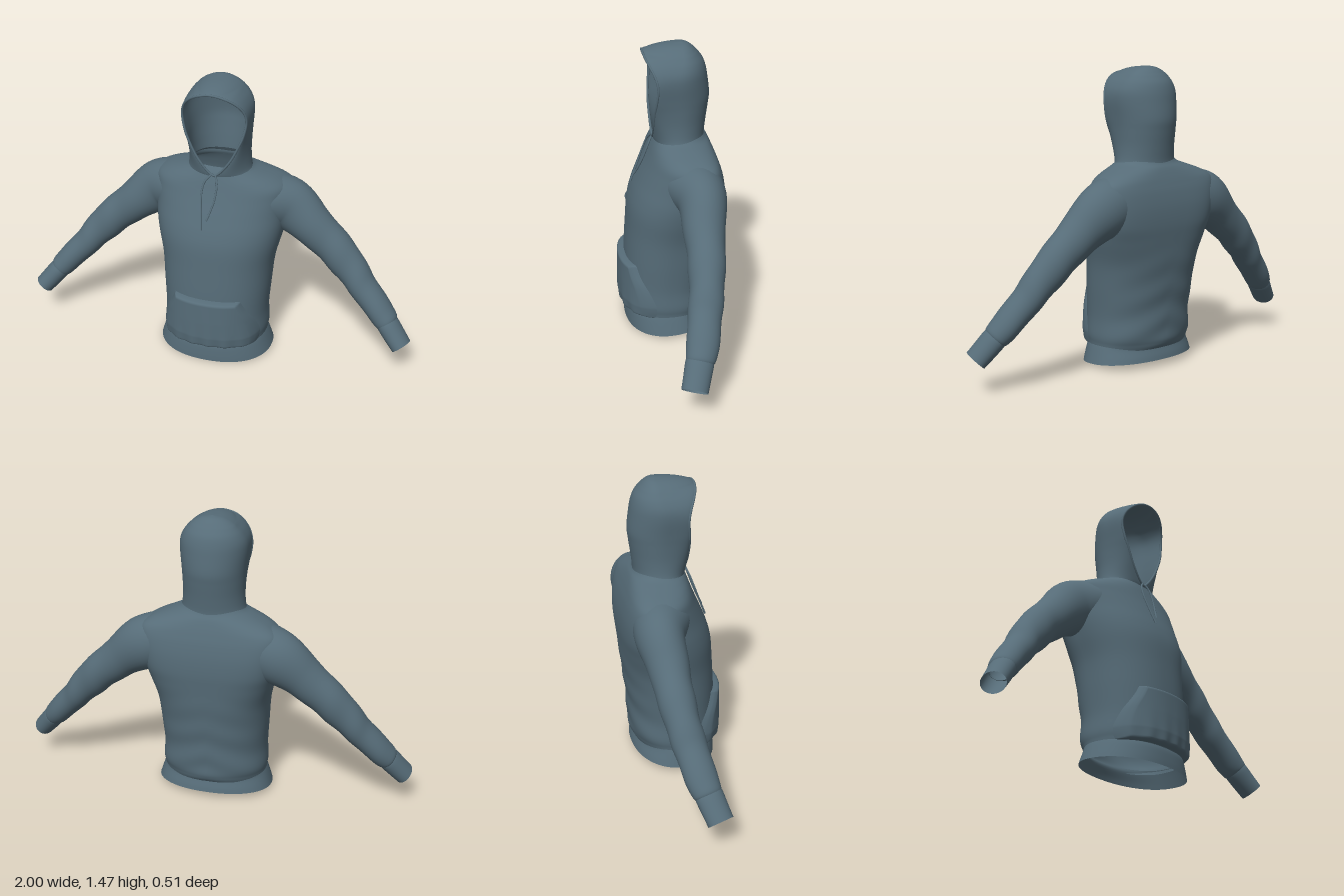
import * as THREE from 'three';

const fabric = new THREE.MeshStandardMaterial({ color: 0x566c78, side: THREE.DoubleSide });
fabric.name = 'slate fabric';

// Smooth interpolation through the rows of a profile table, t in 0..1
function sample(rows, t) {
  const f = t * (rows.length - 1), i = Math.min(Math.floor(f), rows.length - 2), k = f - i;
  const at = j => rows[Math.max(0, Math.min(rows.length - 1, j))];
  return rows[0].map((_, c) => {
    const a = at(i - 1)[c], b = at(i)[c], d = at(i + 1)[c], e = at(i + 2)[c];
    return b + 0.5 * k * (d - a + k * (2 * a - 5 * b + 4 * d - e + k * (3 * (b - d) + e - a)));
  });
}

// Surface through a grid of points: fn(u, v) gives [x, y, z]
function surface(name, fn, nu, nv, closed) {
  const pos = [], idx = [], cols = closed ? nu : nu + 1;
  for (let j = 0; j <= nv; j++)
    for (let i = 0; i < cols; i++) pos.push(...fn(i / nu, j / nv));
  for (let j = 0; j < nv; j++)
    for (let i = 0; i < nu; i++) {
      const n = (i + 1) % cols;
      const a = j * cols + i, b = j * cols + n, c = a + cols, d = b + cols;
      idx.push(a, c, b, b, c, d);
    }
  const g = new THREE.BufferGeometry();
  g.setAttribute('position', new THREE.Float32BufferAttribute(pos, 3));
  g.setIndex(idx);
  g.computeVertexNormals();
  const mesh = new THREE.Mesh(g, fabric);
  mesh.name = name;
  return mesh;
}

function cord(name, points, radius, closed = false) {
  const curve = new THREE.CatmullRomCurve3(points.map(p => new THREE.Vector3(...p)), closed);
  const mesh = new THREE.Mesh(new THREE.TubeGeometry(curve, 90, radius, 8, closed), fabric);
  mesh.name = name;
  return mesh;
}

const power = (v, e) => Math.sign(v) * Math.abs(v) ** e;
const ROUND = 2.25;

// Body ring: half width, centre z, front z, back z, squareness of the back
function bodyPoint([y, w, zc, zf, zb, back], u) {
  const a = u * Math.PI * 2, e = 2 / (u > 0.5 ? back : ROUND), s = power(Math.sin(a), e);
  return [w * power(Math.cos(a), e), y, zc + s * (s > 0 ? zf - zc : zc - zb)];
}

// y, half width, centre z, front z, back z, squareness of the back
const bodyRows = [
  [0.095, 0.262, 0, 0.212, -0.184, 2.2], [0.12, 0.264, 0, 0.217, -0.2, 2.2],
  [0.16, 0.268, 0, 0.222, -0.213, 2.2], [0.25, 0.264, 0, 0.222, -0.214, 2.2],
  [0.38, 0.272, -0.01, 0.219, -0.226, 2.3], [0.52, 0.283, -0.025, 0.21, -0.242, 2.5],
  [0.64, 0.31, -0.05, 0.2, -0.252, 3], [0.72, 0.325, -0.07, 0.18, -0.257, 3.6],
  [0.80, 0.333, -0.09, 0.148, -0.253, 4], [0.87, 0.342, -0.105, 0.118, -0.24, 4],
  [0.92, 0.338, -0.11, 0.098, -0.224, 3.6], [0.955, 0.29, -0.1, 0.085, -0.21, 2.9],
  [0.985, 0.215, -0.08, 0.073, -0.195, 2.4], [1.005, 0.165, -0.06, 0.064, -0.18, 2.2],
  [1.03, 0.14, -0.05, 0.045, -0.165, 2.2],
];
const hemRows = [
  [0.004, 0.293, 0, 0.222, -0.2, 2.2], [0.035, 0.284, 0, 0.221, -0.194, 2.2],
  [0.08, 0.27, 0, 0.217, -0.182, 2.2], [0.104, 0.262, 0, 0.21, -0.186, 2.2],
];

// Front height of the body at x, y
function bodyFront(x, y) {
  const i = Math.max(1, bodyRows.findIndex(r => r[0] >= y));
  const a = bodyRows[i - 1], b = bodyRows[i], k = (y - a[0]) / (b[0] - a[0]);
  const [, w, zc, zf] = a.map((v, c) => v + (b[c] - v) * k);
  return zc + (zf - zc) * Math.max(0, 1 - Math.abs(x / w) ** ROUND) ** (1 / ROUND);
}

// Sleeve: x, y, z of the centre, then half height and half depth
const sleeveRows = [
  [0.21, 0.835, -0.08, 0.128, 0.145], [0.33, 0.797, -0.112, 0.137, 0.12],
  [0.45, 0.71, -0.1, 0.108, 0.1], [0.54, 0.633, -0.094, 0.095, 0.091],
  [0.62, 0.558, -0.083, 0.09, 0.085], [0.69, 0.478, -0.068, 0.078, 0.081],
  [0.75, 0.408, -0.05, 0.07, 0.079], [0.83, 0.32, -0.027, 0.065, 0.076],
  [0.872, 0.272, -0.01, 0.059, 0.069], [0.885, 0.257, -0.005, 0.046, 0.058],
];
const cuffRows = [
  [0.868, 0.276, -0.012, 0.05, 0.062], [0.885, 0.256, -0.002, 0.054, 0.066],
  [0.92, 0.214, 0.014, 0.053, 0.064], [0.962, 0.165, 0.033, 0.05, 0.062],
];
function sleevePoint(rows, u, v, side, fold) {
  const [x, y, z, h, d] = sample(rows, v);
  const p = sample(rows, Math.max(0, v - 0.02)), q = sample(rows, Math.min(1, v + 0.02));
  const along = new THREE.Vector3(q[0] - p[0], q[1] - p[1], q[2] - p[2]).normalize();
  const up = new THREE.Vector3(-along.y, along.x, 0).normalize();
  const across = along.clone().cross(up);
  const a = -side * u * Math.PI * 2;
  const r = 1 + fold * Math.sin(v * 34 + 2 * Math.sin(a)) * Math.sin(v * Math.PI) ** 2;
  const c = new THREE.Vector3(x, y, z)
    .addScaledVector(up, Math.sin(a) * h * r).addScaledVector(across, Math.cos(a) * d * r);
  return [side * c.x, c.y, c.z];
}

// Hood: y, half width, centre z, back z, half opening, opening edge z
const hoodRows = [
  [0.985, 0.178, -0.05, -0.185, 0, 0.07], [1.01, 0.158, -0.045, -0.178, 0.025, 0.074],
  [1.08, 0.15, -0.045, -0.185, 0.08, 0.076], [1.16, 0.152, -0.045, -0.196, 0.12, 0.076],
  [1.22, 0.157, -0.04, -0.202, 0.144, 0.071], [1.30, 0.165, -0.035, -0.193, 0.158, 0.066],
  [1.35, 0.161, -0.04, -0.184, 0.147, 0.077], [1.39, 0.142, -0.05, -0.17, 0.117, 0.096],
  [1.42, 0.116, -0.06, -0.148, 0.07, 0.113], [1.435, 0.1, -0.06, -0.134, 0, 0.121],
  [1.45, 0.077, -0.062, -0.118, 0, 0.085], [1.463, 0.045, -0.065, -0.098, 0, 0.02],
  [1.47, 0, -0.07, -0.07, 0, -0.07],
];
function hoodPoint(u, v) {
  const [y, w, zc, zb, xo, zo] = sample(hoodRows, v);
  const side = u < 0.5 ? 1 : -1, t = Math.abs(u - 0.5) * 2 * Math.PI;
  const s = -Math.cos(t), c = Math.sin(t), open = Math.max(0, xo);
  if (s < 0) return [side * w * c, y, zc + (zc - zb) * s];
  return [side * (open + (w - open) * c), y, zc + (zo - zc) * s];
}

// Pouch pocket: y, half width
const pocketRows = [[0.1, 0.24], [0.14, 0.25], [0.18, 0.248], [0.25, 0.226], [0.32, 0.19], [0.368, 0.168]];
function pocketPoint(u, v) {
  const [y, w] = sample(pocketRows, v), x = (u * 2 - 1) * w;
  const edge = Math.min(1, 18 * Math.min(u, 1 - u), 16 * Math.min(v, 1 - v));
  const pleat = 0.004 * Math.sin(x * 75) * (1 - v) ** 3;
  return [x, y, bodyFront(x, y) + (0.033 + pleat) * Math.sqrt(edge)];
}

export function createModel() {
  const model = new THREE.Group();
  model.name = 'hoodie';

  // Body with soft diagonal folds low on the back
  model.add(surface('body', (u, v) => {
    const p = bodyPoint(sample(bodyRows, v), u);
    if (u > 0.5) p[2] += 0.006 * Math.sin(p[1] * 42 + Math.abs(p[0]) * 14)
      * Math.sin((u - 0.5) * 2 * Math.PI) * Math.max(0, 1 - p[1] / 0.65);
    return p;
  }, 72, 84, true));

  // Waistband, rising a little at the back
  model.add(surface('waistband', (u, v) => {
    const p = bodyPoint(sample(hemRows, v), u);
    p[1] += (0.22 - p[2]) * 0.08 * (1 - v * 0.5);
    return p;
  }, 72, 12, true));

  model.add(surface('pocket', pocketPoint, 72, 40, false));

  // Sleeves and cuffs
  for (const side of [1, -1]) {
    const label = side > 0 ? 'left' : 'right';
    model.add(surface(label + 'Sleeve', (u, v) => sleevePoint(sleeveRows, u, v, side, 0.03), 36, 64, true));
    model.add(surface(label + 'Cuff', (u, v) => sleevePoint(cuffRows, u, v, side, 0), 36, 12, true));
  }

  // Hood and the stitched rim of its opening
  model.add(surface('hood', hoodPoint, 64, 72, false));
  const rim = hoodRows.slice(1, 9).map(r => [r[4], r[0], r[5]]);
  model.add(cord('hoodRim', [[0, 0.995, 0.074], ...rim, [0, 1.435, 0.119],
    ...rim.map(([x, y, z]) => [-x, y, z]).reverse()], 0.006, true));

  // Drawstrings hanging over the chest
  model.add(cord('rightDrawstring', [[-0.012, 1.0, 0.078], [-0.04, 0.965, 0.095],
    [-0.05, 0.91, 0.115], [-0.042, 0.82, 0.148], [-0.033, 0.742, 0.178]], 0.005));
  model.add(cord('leftDrawstring', [[0.01, 1.0, 0.078], [0.022, 0.965, 0.095],
    [0.018, 0.89, 0.122], [0.002, 0.83, 0.145], [-0.012, 0.79, 0.163]], 0.005));
  return model;
}
